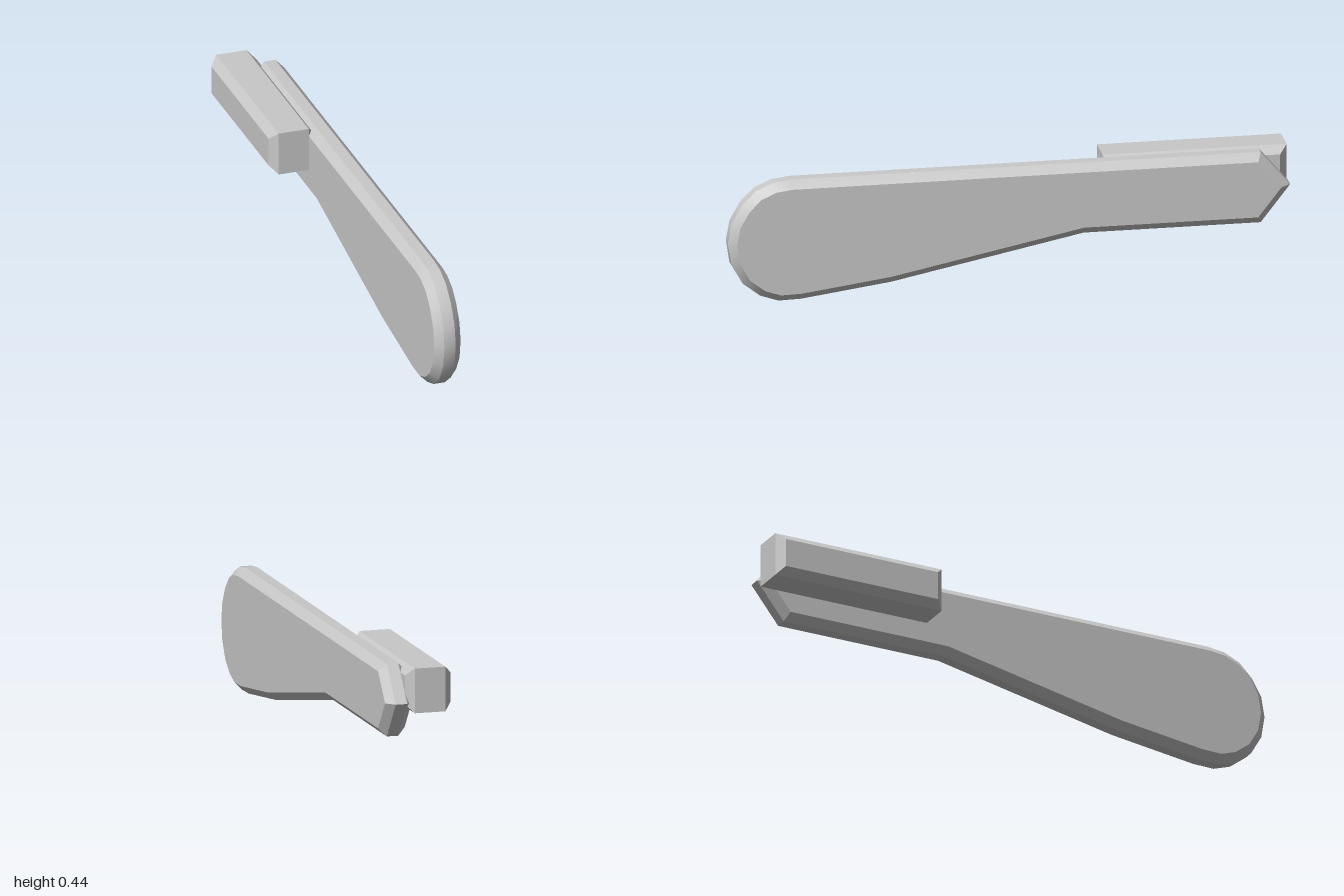
import * as THREE from 'three';
import { toCreasedNormals } from 'three/addons/utils/BufferGeometryUtils.js';

const BEVEL = 0.028;

// Extrudes a (z, y) outline across x, from xMin to xMax, with chamfered rims
function chamferedPlate(name, outline, xMin, xMax, material) {
  const shape = new THREE.Shape(outline.map(([z, y]) => new THREE.Vector2(z, y)));
  const geometry = new THREE.ExtrudeGeometry(shape, {
    depth: xMax - xMin - 2 * BEVEL,
    bevelEnabled: true,
    bevelSegments: 1,
    bevelThickness: BEVEL,
    bevelSize: BEVEL,
    bevelOffset: -BEVEL,
  });
  geometry.rotateY(-Math.PI / 2);
  geometry.translate(xMax - BEVEL, 0, 0);
  const mesh = new THREE.Mesh(toCreasedNormals(geometry, Math.PI / 6), material);
  mesh.name = name;
  return mesh;
}

export function createModel() {
  const group = new THREE.Group();
  group.name = 'lever';
  const grey = new THREE.MeshStandardMaterial({ color: 0xc8c8c8 });
  grey.name = 'light grey';

  // Paddle: pointed rear, slim neck, broad rounded front
  const paddle = [
    [-0.895, 0.445], [-1, 0.32], [-0.895, 0.185], [-0.265, 0.185],
    [0.42, 0.045], [0.74, 0.002], [0.82, 0], [0.885, 0.022], [0.947, 0.07],
    [0.987, 0.14], [1, 0.22], [0.987, 0.295], [0.95, 0.36], [0.9, 0.41],
    [0.84, 0.437], [0.775, 0.445],
  ];
  group.add(chamferedPlate('handlePaddle', paddle, 0.02, 0.118, grey));

  // Mounting block on the inner side at the rear
  const block = [[-1, 0.285], [-0.345, 0.285], [-0.345, 0.445], [-1, 0.445]];
  group.add(chamferedPlate('mountingBlock', block, -0.12, 0.048, grey));

  return group;
}
